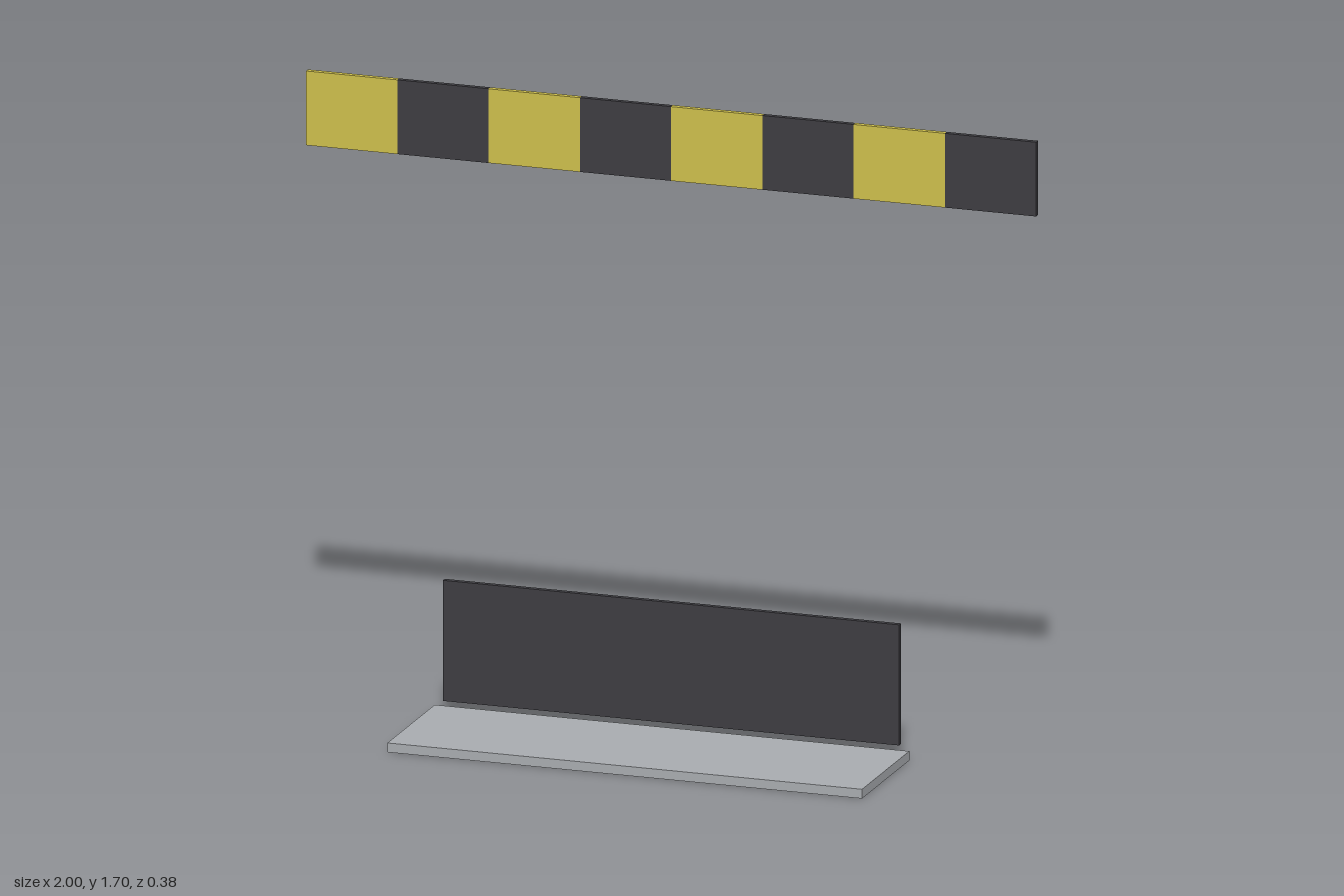
import * as THREE from 'three';

export function createModel() {
  const group = new THREE.Group();
  const material = (name, color) => {
    const m = new THREE.MeshStandardMaterial({ color });
    m.name = name;
    return m;
  };
  const yellow = material('warning yellow', 0xcfc04c);
  const dark = material('charcoal', 0x3e3d42);
  const grey = material('light grey', 0xaaadb1);

  const box = (name, size, position, mat, parent = group) => {
    const mesh = new THREE.Mesh(new THREE.BoxGeometry(...size), mat);
    mesh.name = name;
    mesh.position.set(...position);
    parent.add(mesh);
  };

  const backZ = -0.182, thickness = 0.015;

  // Flat base and the upright panel just above its rear edge
  box('basePlate', [1.3, 0.025, 0.372], [0, 0.0125, 0.004], grey);
  box('backPanel', [1.25, 0.325, thickness], [0, 0.2025, backZ], dark);

  // Floating striped bar: eight alternating blocks
  const bar = new THREE.Group();
  bar.name = 'stripedBar';
  group.add(bar);
  for (let i = 0; i < 8; i++) {
    box(`stripe${i + 1}`, [0.25, 0.2, thickness], [-0.875 + i * 0.25, 1.602, backZ], i % 2 ? dark : yellow, bar);
  }
  return group;
}
